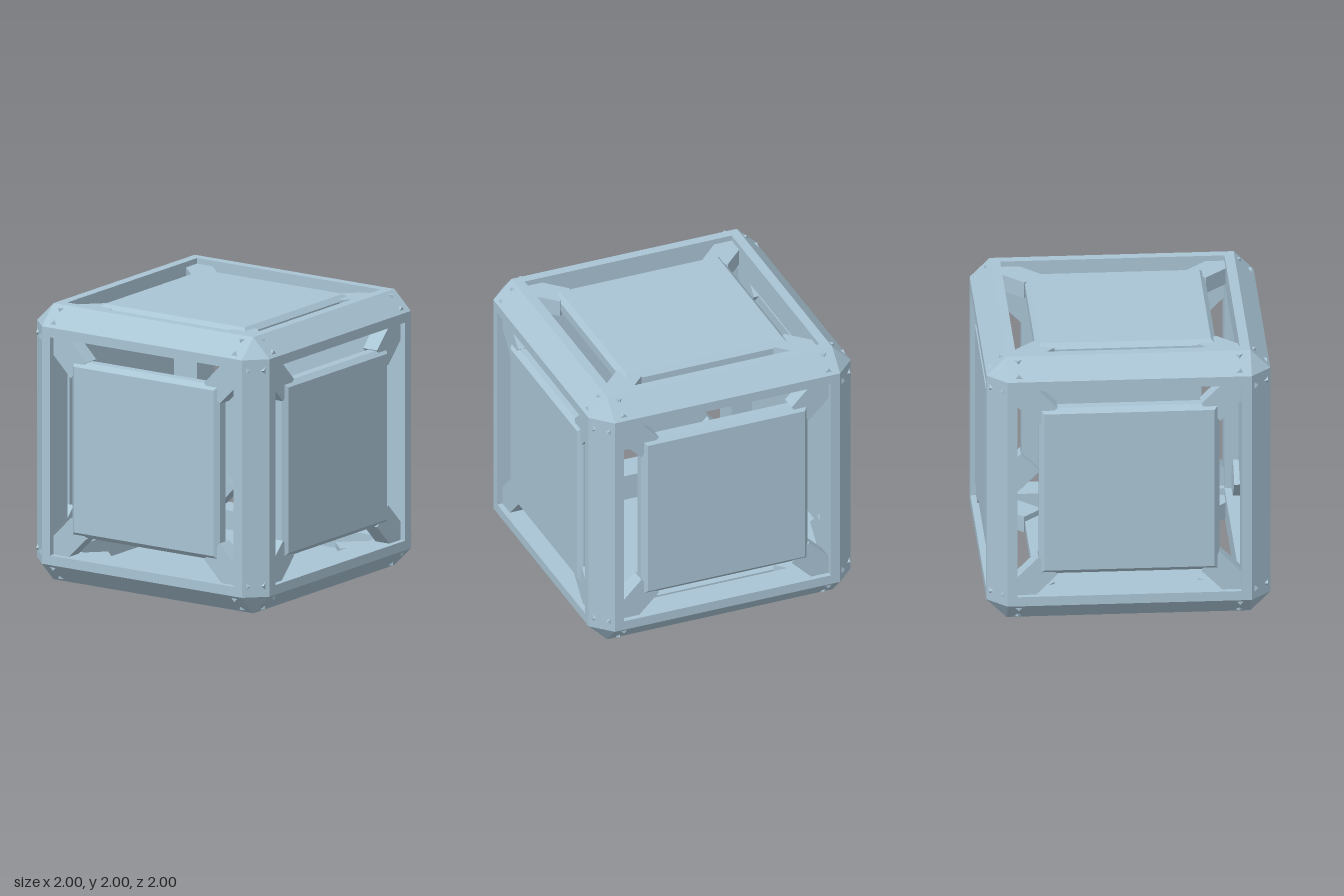
import * as THREE from 'three';
import { ConvexGeometry } from 'three/addons/geometries/ConvexGeometry.js';

const OUT = 1, CH = 0.86, IN = 0.79; // outer face, chamfer start, opening half-width
const v = (x, y, z) => new THREE.Vector3(x, y, z);

// Convex solid from square rings given as [half-width, z]
const squareRings = (rings) => new ConvexGeometry(rings.flatMap(([h, z]) =>
  [v(h, h, z), v(-h, h, z), v(-h, -h, z), v(h, -h, z)]));

export function createModel() {
  const steel = new THREE.MeshStandardMaterial({ color: 0xa9c4d4 });
  steel.name = 'paleBlueSteel';

  const model = new THREE.Group();
  model.name = 'frameCube';
  const body = new THREE.Group();
  body.name = 'body';
  body.position.y = 1;
  model.add(body);

  const add = (parent, geometry, name) => {
    const mesh = new THREE.Mesh(geometry, steel);
    mesh.name = name;
    parent.add(mesh);
    return mesh;
  };

  // Edge beam: square section with the outer edge chamfered
  const section = new THREE.Shape([[IN, IN], [OUT, IN], [OUT, CH], [CH, OUT], [IN, OUT]]
    .map(([x, y]) => new THREE.Vector2(x, y)));
  const beamGeo = new THREE.ExtrudeGeometry(section, { depth: 2 * IN, bevelEnabled: false });
  beamGeo.translate(0, 0, -IN);

  // Small three-sided studs, in facing pairs on the chamfer
  const studA = new ConvexGeometry([v(0.88, 0.98, -0.025), v(0.88, 0.98, 0.025),
    v(0.905, 0.955, 0), v(0.905, 0.98, 0)]);
  const studB = new ConvexGeometry([v(0.98, 0.88, -0.025), v(0.98, 0.88, 0.025),
    v(0.955, 0.905, 0), v(0.98, 0.905, 0)]);

  // Four beams along each axis
  for (const [rx, ry] of [[0, 0], [Math.PI / 2, 0], [0, Math.PI / 2]]) {
    const axis = new THREE.Group();
    axis.name = 'beamSet';
    axis.rotation.set(rx, ry, 0);
    for (let k = 0; k < 4; k++) {
      const beam = new THREE.Group();
      beam.name = 'edgeBeam';
      beam.rotation.z = k * Math.PI / 2;
      add(beam, beamGeo, 'beam');
      for (const z of [-0.78, 0.78]) {
        add(beam, studA, 'stud').position.z = z;
        add(beam, studB, 'stud').position.z = z;
      }
      axis.add(beam);
    }
    body.add(axis);
  }

  // Corner blocks with a triangular cut
  for (const sx of [-1, 1]) for (const sy of [-1, 1]) for (const sz of [-1, 1]) {
    const pts = [v(IN, IN, IN)];
    for (const [a, b, c] of [[OUT, IN, IN], [OUT, CH, IN], [OUT, IN, CH], [OUT, CH, CH]]) {
      pts.push(v(a, b, c), v(c, a, b), v(b, c, a));
    }
    pts.forEach((p) => p.multiply(v(sx, sy, sz)));
    add(body, new ConvexGeometry(pts), 'cornerBlock');
  }

  // Face panel with bevelled rim, held by four diagonal struts
  const panelGeo = squareRings([[0.6, 0.98], [0.635, 0.945], [0.635, 0.88]]);
  const strutGeo = new THREE.BoxGeometry(0.36, 0.19, 0.12);
  strutGeo.translate(0.99, 0, 0.9);

  for (const [rx, ry] of [[0, 0], [0, 1], [0, 2], [0, 3], [1, 0], [-1, 0]]) {
    const face = new THREE.Group();
    face.name = 'facePanel';
    face.rotation.set(rx * Math.PI / 2, ry * Math.PI / 2, 0);
    add(face, panelGeo, 'panel');
    for (let k = 0; k < 4; k++) {
      add(face, strutGeo, 'strut').rotation.z = (k + 0.5) * Math.PI / 2;
    }
    body.add(face);
  }
  return model;
}
